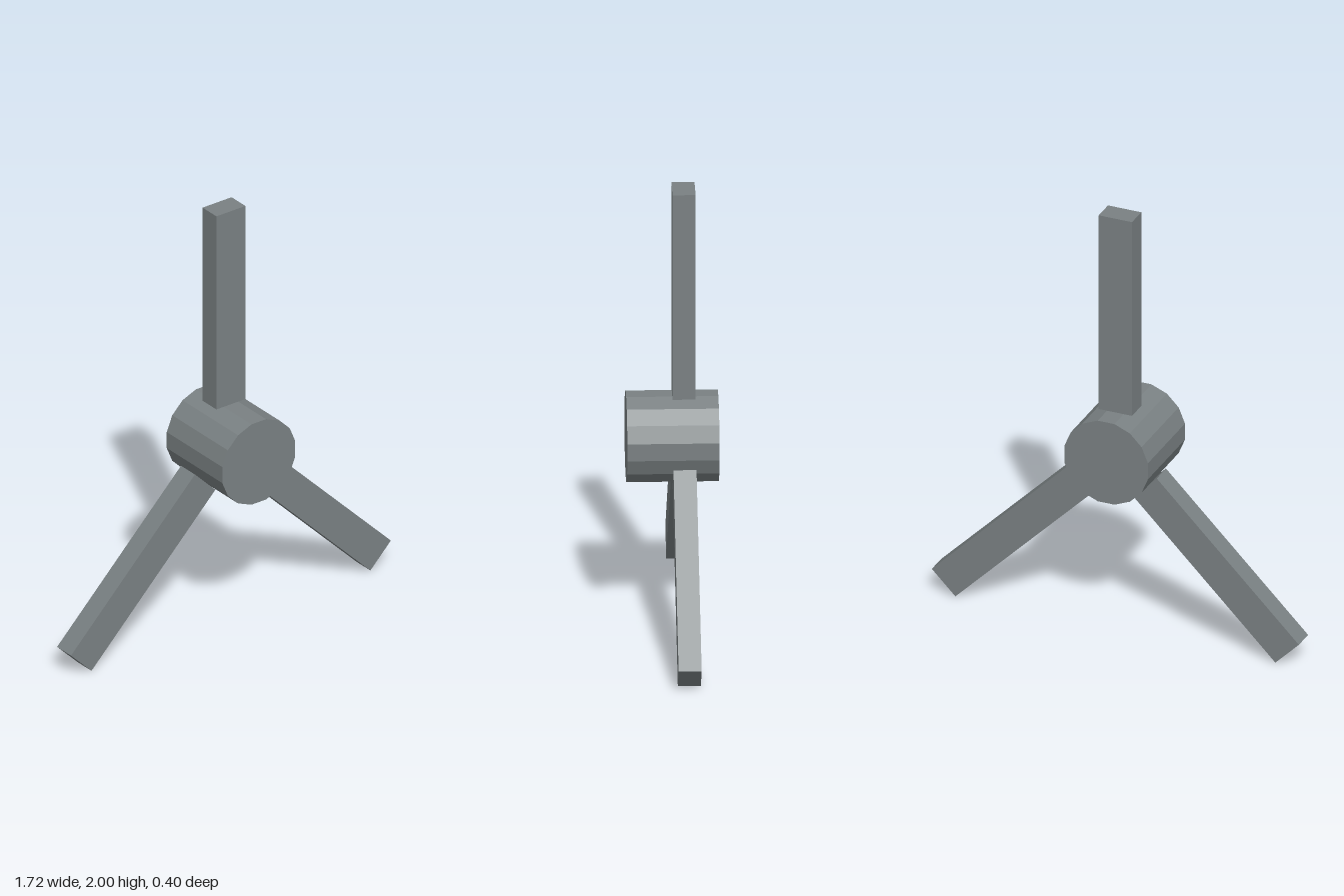
import * as THREE from 'three';

export function createModel() {
  const model = new THREE.Group();
  const grey = new THREE.MeshStandardMaterial({ color: 0x7a8183 });
  grey.name = 'slate grey';
  grey.flatShading = true;

  const hubY = 0.861, hubRadius = 0.2, hubSides = 16;
  const hubFlat = hubRadius * Math.cos(Math.PI / hubSides); // centre to a flat side
  const bladeTip = 1.139, bladeWidth = 0.156, bladeDepth = 0.099;

  // Faceted hub lying along z, with a flat side facing up
  const hubGeometry = new THREE.CylinderGeometry(hubRadius, hubRadius, 0.396, hubSides);
  hubGeometry.rotateY(Math.PI / hubSides).rotateX(Math.PI / 2);
  const hub = new THREE.Mesh(hubGeometry, grey);
  hub.name = 'hub';
  hub.position.y = hubY;
  model.add(hub);

  // Three blades, set in the rear half of the hub and turned around its axis
  const length = bladeTip - hubFlat;
  const bladeGeometry = new THREE.BoxGeometry(bladeWidth, length, bladeDepth);
  bladeGeometry.translate(0, hubFlat + length / 2, -bladeDepth / 2);
  const blades = { topBlade: 0, leftBlade: -135, rightBlade: 135 };
  for (const [name, degrees] of Object.entries(blades)) {
    const blade = new THREE.Mesh(bladeGeometry, grey);
    blade.name = name;
    blade.position.y = hubY;
    blade.rotation.z = THREE.MathUtils.degToRad(degrees);
    model.add(blade);
  }

  return model;
}
